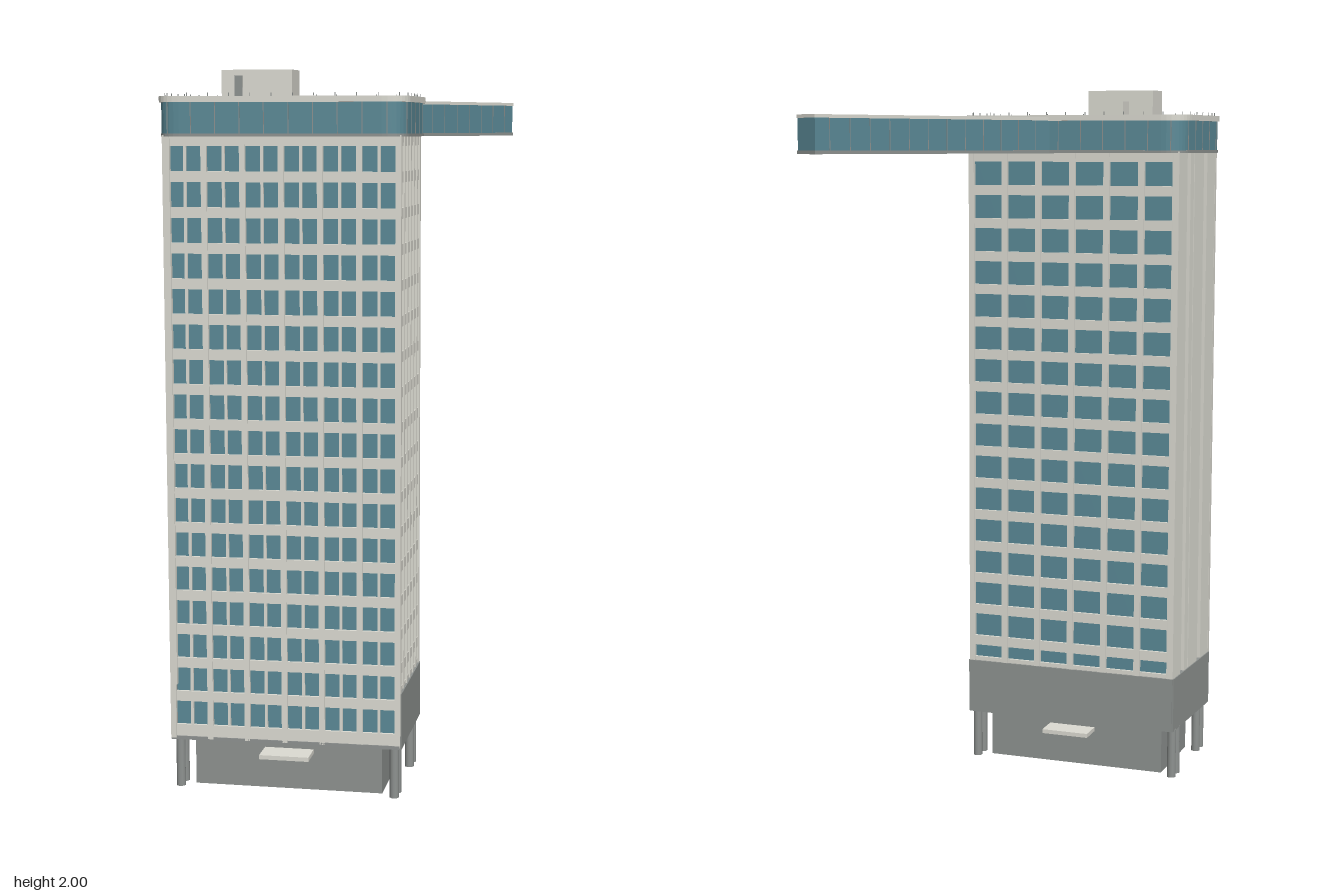
import * as THREE from 'three';
import { mergeGeometries } from 'three/addons/utils/BufferGeometryUtils.js';

const mat = (name, color) => {
  const m = new THREE.MeshStandardMaterial({ color });
  m.name = name;
  return m;
};

// Box geometry given by its min and max corners
function span(x0, x1, y0, y1, z0, z1) {
  return new THREE.BoxGeometry(x1 - x0, y1 - y0, z1 - z0)
    .translate((x0 + x1) / 2, (y0 + y1) / 2, (z0 + z1) / 2);
}

function add(parent, name, geometry, material) {
  const mesh = new THREE.Mesh(Array.isArray(geometry) ? mergeGeometries(geometry) : geometry, material);
  mesh.name = name;
  parent.add(mesh);
}

// Plan corners of the tower (x, z): the blank end is slightly wider
const L = [-0.327, 0.182], B = [0.325, 0.172], R = [0.325, -0.175], T = [-0.312, -0.177];

// Plan outline grown by an offset, with rounded corners
function outline(offset, r = 0.002, Type = THREE.Shape) {
  const c = [L, B, R, T].map(([x, z]) =>
    new THREE.Vector2(x + Math.sign(x) * offset, -z - Math.sign(z) * offset));
  const toward = (p, q) => p.clone().add(q.clone().sub(p).setLength(r));
  const s = new Type();
  c.forEach((p, i) => {
    const start = toward(p, c[(i + 3) % 4]), end = toward(p, c[(i + 1) % 4]);
    if (i === 0) s.moveTo(start.x, start.y);
    else s.lineTo(start.x, start.y);
    s.quadraticCurveTo(p.x, p.y, end.x, end.y);
  });
  s.closePath();
  return s;
}

// Horizontal slab between y0 and y1, hollow when a hole is given
function slab(shape, y0, y1, hole) {
  if (hole) shape.holes.push(hole);
  return new THREE.ExtrudeGeometry(shape, { depth: y1 - y0, bevelEnabled: false, curveSegments: 8 })
    .rotateX(-Math.PI / 2).translate(0, y0, 0);
}

// Thin uprights standing along an outline
function uprights(shape, count, size, y0, y1) {
  return shape.getSpacedPoints(count).slice(0, count).map((p) =>
    span(p.x - size, p.x + size, y0, y1, -p.y - size, -p.y + size));
}

export function createModel() {
  const stone = mat('pale stone', 0xdddcd3);
  const concrete = mat('grey concrete', 0x8f9391);
  const glass = mat('teal glass', 0x5b8a97);

  const model = new THREE.Group();
  model.name = 'towerWithBridge';
  const tower = new THREE.Group();
  tower.name = 'tower';
  tower.position.set(-0.293, 0, 0.087);
  tower.rotation.y = -THREE.MathUtils.degToRad(36.6);
  model.add(tower);

  const IN = 0.012;                         // window recess
  const Y0 = 0.145, BAND = 0.3, Y1 = 1.825;
  const STEP = 0.0965, BEAM = 0.029;

  // Ground floor: lobby, columns, soffit and canopies
  add(tower, 'lobby', span(-0.268, 0.268, 0, Y0, -0.135, 0.135), concrete);
  const columns = [];
  for (const sx of [-1, 1]) for (const sz of [-1, 1]) for (const z of [0.158, 0.115]) {
    columns.push(new THREE.CylinderGeometry(0.013, 0.013, Y0, 12).translate(sx * 0.306, Y0 / 2, sz * z));
  }
  add(tower, 'columns', columns, concrete);
  add(tower, 'soffit', slab(outline(0), Y0 - 0.004, Y0 + 0.006), concrete);
  add(tower, 'frontCanopy', span(-0.067, 0.073, 0.105, 0.117, 0.13, 0.21), stone);
  add(tower, 'backCanopy', span(-0.06, 0.08, 0.105, 0.117, -0.208, -0.13), stone);

  // Glazed core
  add(tower, 'glassCore', slab(outline(-IN), Y0, Y1), glass);

  // Group on the wall line from P to Q: x along the wall, z outward
  function wall(name, P, Q) {
    const side = new THREE.Group();
    side.name = name;
    side.position.set((P[0] + Q[0]) / 2, 0, (P[1] + Q[1]) / 2);
    side.rotation.y = Math.atan2(P[1] - Q[1], Q[0] - P[0]);
    tower.add(side);
    return [side, Math.hypot(Q[0] - P[0], Q[1] - P[1]) / 2];
  }

  // Plain band above the columns
  const band = (side, half) =>
    add(side, 'lowerBand', span(-half, half - 0.001, Y0 - 0.004, BAND, -0.016, 0.003), concrete);

  // Grid of beams and piers with six bays
  function facade([side, half], bottom, pierHalf, split) {
    const beams = [], piers = [], edge = 0.008, inner = half - edge, w = inner / 3;
    for (let y = Y1; y > bottom + 0.01; y -= STEP) {
      beams.push(span(-half, half, Math.max(y - BEAM, bottom), y, -IN - 0.004, -0.003));
    }
    beams.push(span(-half, half, bottom, bottom + 0.012, -IN - 0.004, -0.003));
    for (let i = 0; i <= 6; i++) {
      const x = -inner + i * w;
      const p = i % 6 === 0 ? edge : pierHalf;
      piers.push(span(x - p, x + p, bottom, Y1, -IN - 0.004, 0));
      if (split && i < 6) {
        piers.push(span(x + w / 2 - 0.004, x + w / 2 + 0.004, bottom, Y1, -IN - 0.004, -0.005));
      }
    }
    add(side, 'floorBeams', beams, stone);
    add(side, 'piers', piers, stone);
  }
  const front = wall('frontFacade', L, B);
  const end = wall('endFacade', B, R);
  const back = wall('backFacade', R, T);
  const blank = wall('blankEnd', T, L);
  facade(front, Y0, 0.008, true);
  facade(end, BAND, 0.005, false);
  facade(back, BAND, 0.009, false);
  band(...end);
  band(...back);

  // Blank end wall: raised panels, recessed strips and a slot of small windows
  const [blankSide, bh] = blank;
  add(blankSide, 'lowerBand', span(-bh, bh - 0.01, Y0 - 0.004, BAND, -0.016, 0.003), concrete);
  add(blankSide, 'lowerCorner', span(bh - 0.01, bh, Y0, BAND, -0.016, 0), stone);
  const strip = (u0, u1, y0, y1, z) => span((u0 * 2 - 1) * bh, (u1 * 2 - 1) * bh, y0, y1, -0.02, z);
  const panels = [[0, 0.19], [0.3, 0.385], [0.405, 0.65], [0.74, 1]];
  add(blankSide, 'raisedPanels', panels.map(([p, q]) => strip(p, q, BAND, Y1, 0)), stone);
  const backing = [strip(0.18, 0.215, BAND, Y1, -0.01), strip(0.275, 0.99, BAND, Y1, -0.01)];
  for (let y = Y1; y > BAND; y -= STEP) {
    backing.push(strip(0.2, 0.29, Math.max(y - 0.05, BAND), y, -0.01));
  }
  add(blankSide, 'recessedWall', backing, stone);

  // Crown with rounded corners
  add(tower, 'crownFloor', slab(outline(0.014, 0.064), Y1 - 0.004, Y1 + 0.004), concrete);
  add(tower, 'crownGlass', slab(outline(0.012, 0.063), Y1 + 0.004, 1.914), glass);
  add(tower, 'crownMullions', uprights(outline(0.012, 0.063), 30, 0.0012, Y1 + 0.004, 1.914), concrete);
  add(tower, 'roofDeck', slab(outline(0.004, 0.058), 1.912, 1.923), concrete);
  add(tower, 'roofRim', slab(outline(0.018, 0.068), 1.912, 1.928, outline(-0.004, 0.052, THREE.Path)), stone);
  add(tower, 'railingPosts', uprights(outline(0.007, 0.06), 34, 0.001, 1.926, 1.937), concrete);

  // Rooftop plant rooms
  add(tower, 'plantRoom', span(-0.186, 0.01, 1.92, 2, -0.018, 0.077), stone);
  add(tower, 'stairRoom', span(-0.114, -0.038, 1.92, 1.968, -0.075, -0.016), stone);
  add(tower, 'plantRoomDoor', span(-0.15, -0.128, 1.924, 1.985, 0.076, 0.079), concrete);

  // Sky bridge from the crown
  const bridge = new THREE.Group();
  bridge.name = 'skyBridge';
  bridge.position.set(0.648, 0, -0.388);
  bridge.rotation.y = THREE.MathUtils.degToRad(27.8);
  model.add(bridge);
  const LEN = 0.885, W = 0.038;
  add(bridge, 'bridgeFloor', span(-LEN, 0, 1.82, 1.829, -W, W), concrete);
  add(bridge, 'bridgeGlass', span(-LEN, -0.002, 1.829, 1.913, -W + 0.002, W - 0.002), glass);
  add(bridge, 'bridgeRoof', span(-LEN, 0, 1.913, 1.922, -W, W), stone);
  const bars = [];
  for (let i = 0; i < 12; i++) {
    const x = -0.05 - i * 0.068;
    bars.push(span(x - 0.001, x + 0.001, 1.829, 1.913, -W + 0.001, W - 0.001));
  }
  add(bridge, 'bridgeMullions', bars, concrete);

  return model;
}
